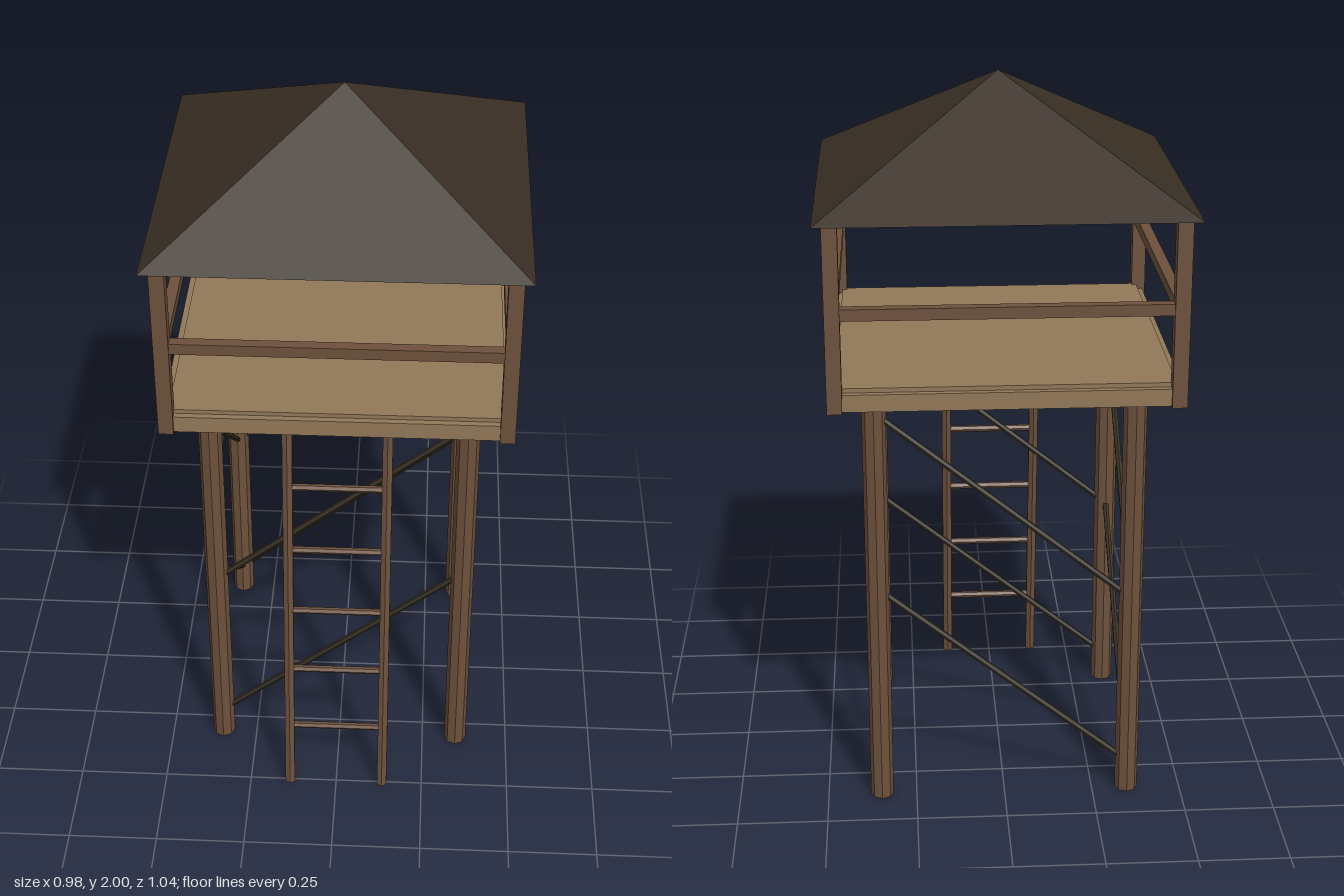
import * as THREE from 'three';

const mat = (name, color) => {
  const m = new THREE.MeshStandardMaterial({ color, flatShading: true });
  m.name = name;
  return m;
};

export function createModel() {
  const timber = mat('timber', 0x6d513c);
  const planks = mat('planks', 0x917858);
  const roofing = mat('dark roofing', 0x382e24);
  const bracing = mat('dark bracing', 0x352e22);

  const model = new THREE.Group();
  model.name = 'watchtower';
  const tower = new THREE.Group();
  tower.name = 'tower';
  tower.position.z = -0.028;
  model.add(tower);

  const add = (parent, name, geometry, material, x = 0, y = 0, z = 0) => {
    const mesh = new THREE.Mesh(geometry, material);
    mesh.name = name;
    mesh.position.set(x, y, z);
    parent.add(mesh);
    return mesh;
  };

  // Straight pole between two points
  const pole = (parent, name, a, b, radius, sides, material) => {
    const from = new THREE.Vector3(...a), to = new THREE.Vector3(...b);
    const dir = to.clone().sub(from);
    const mesh = add(parent, name, new THREE.CylinderGeometry(radius, radius, dir.length(), sides), material);
    mesh.position.copy(from).add(to).multiplyScalar(0.5);
    mesh.quaternion.setFromUnitVectors(new THREE.Vector3(0, 1, 0), dir.normalize());
  };

  const legX = 0.348, legZ = 0.332, deckY = 1.207, eavesY = 1.706, postAt = 0.446;

  // Legs and corner posts
  for (const sx of [-1, 1]) {
    for (const sz of [-1, 1]) {
      pole(tower, 'leg', [sx * legX, 0, sz * legZ], [sx * legX, deckY + 0.005, sz * legZ], 0.032, 8, timber);
      add(tower, 'cornerPost', new THREE.BoxGeometry(0.04, eavesY - deckY + 0.004, 0.04), timber,
        sx * postAt, (eavesY + deckY) / 2, sz * postAt);
    }
  }

  // Diagonal braces, two on each side
  for (const s of [-1, 1]) {
    for (const low of [0.083, 0.597]) {
      pole(tower, 'crossBrace', [-legX, low + 0.003, s * legZ], [legX, low + 0.561, s * legZ], 0.009, 6, bracing);
      pole(tower, 'sideBrace', [s * legX, low, -legZ], [s * legX, low + 0.54, legZ], 0.009, 6, bracing);
    }
  }

  // Deck with a slightly inset floor
  add(tower, 'deck', new THREE.BoxGeometry(0.915, 0.047, 0.915), planks, 0, deckY + 0.0245, 0);
  add(tower, 'floor', new THREE.BoxGeometry(0.88, 0.014, 0.88), planks, 0, deckY + 0.053, 0);

  // Railings
  for (const s of [-1, 1]) {
    add(tower, 'railing', new THREE.BoxGeometry(0.86, 0.031, 0.03), timber, 0, 1.47, s * postAt);
    add(tower, 'sideRailing', new THREE.BoxGeometry(0.03, 0.031, 0.86), timber, s * postAt, 1.47, 0);
  }

  // Pyramid roof
  const roof = new THREE.ConeGeometry(0.491 * Math.SQRT2, 2 - eavesY, 4);
  roof.rotateY(Math.PI / 4);
  add(tower, 'roof', roof, roofing, 0, (2 + eavesY) / 2, 0);

  // Leaning ladder
  const ladder = new THREE.Group();
  ladder.name = 'ladder';
  model.add(ladder);
  const ladderZ = (y) => 0.506 - 0.112 * y;
  for (const s of [-1, 1]) {
    pole(ladder, 'ladderRail', [s * 0.134, 0.002, ladderZ(0)], [s * 0.134, deckY, ladderZ(deckY)], 0.0155, 6, timber);
  }
  for (let i = 0; i < 5; i++) {
    const y = 0.207 + i * 0.2;
    pole(ladder, 'rung', [-0.134, y, ladderZ(y)], [0.134, y, ladderZ(y)], 0.01, 6, timber);
  }
  return model;
}
